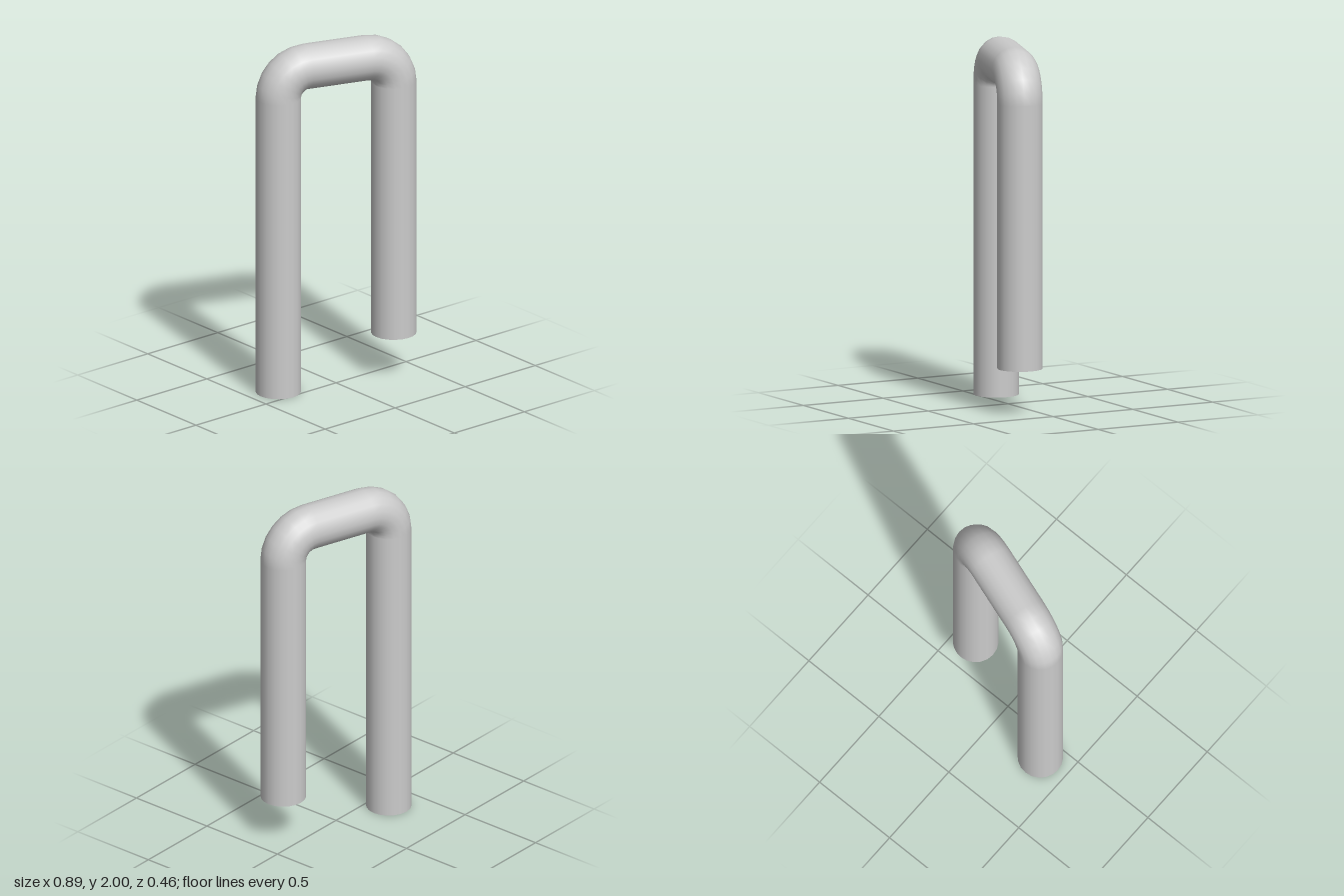
import * as THREE from 'three';

const TUBE = 0.125;        // pipe radius
const SIDES = 20;
const BEND = 0.16;         // centre-line radius of the corners
const HALF = 0.339;        // half the distance between leg axes
const TOP = 2 - TUBE;      // height of the top bar's axis
const BEND_Y = TOP - BEND; // height where the legs start to bend

export function createModel() {
  const model = new THREE.Group();
  const pipe = new THREE.Group();
  pipe.name = 'bentPipe';
  pipe.rotation.y = -Math.atan2(0.107, 0.322);
  model.add(pipe);

  const material = new THREE.MeshStandardMaterial({ color: 0xcccccc });
  const add = (name, geometry, x, y) => {
    const mesh = new THREE.Mesh(geometry, material);
    mesh.name = name;
    mesh.position.set(x, y, 0);
    pipe.add(mesh);
    return mesh;
  };
  const straight = (length) => new THREE.CylinderGeometry(TUBE, TUBE, length, SIDES, 1, true);

  // Each side: a straight leg, its flat end and the corner above it
  for (const [side, s, bottom] of [['left', 1, 0.25], ['right', -1, 0]]) {
    const length = BEND_Y - bottom;
    add(side + 'Leg', straight(length), s * HALF, bottom + length / 2);
    add(side + 'LegEnd', new THREE.CircleGeometry(TUBE, SIDES), s * HALF, bottom).rotation.x = Math.PI / 2;
    const bend = new THREE.TorusGeometry(BEND, TUBE, SIDES, 6, Math.PI / 2);
    add(side + 'Bend', bend, s * (HALF - BEND), BEND_Y).rotation.z = s > 0 ? 0 : Math.PI / 2;
  }

  // Bar joining the two corners
  add('topBar', straight(2 * (HALF - BEND)), 0, TOP).rotation.z = Math.PI / 2;

  return model;
}
